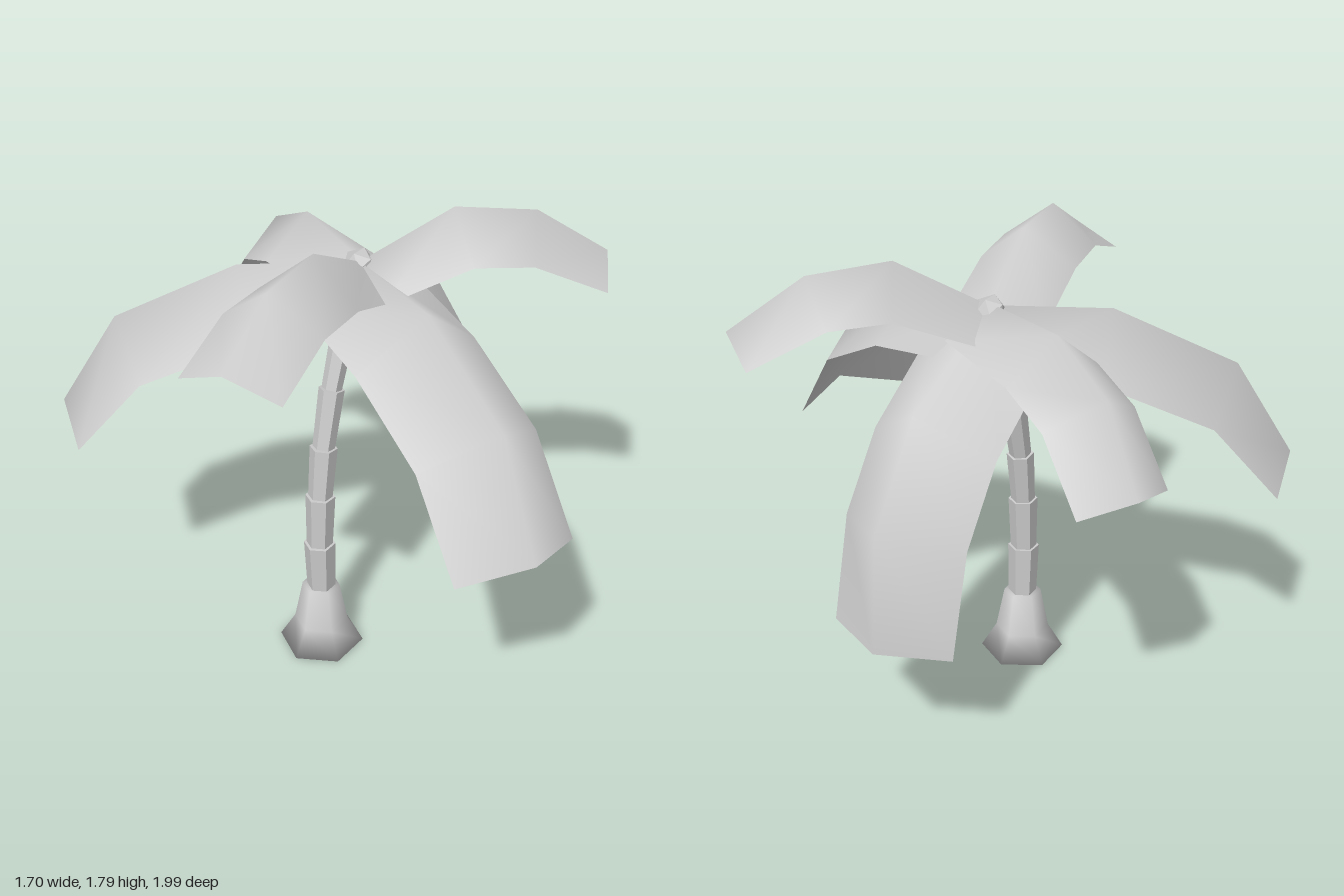
import * as THREE from 'three';

const leafMat = new THREE.MeshStandardMaterial({ color: 0xcccccc, side: THREE.DoubleSide });
const smoothMat = new THREE.MeshStandardMaterial({ color: 0xcccccc });
const flatMat = new THREE.MeshStandardMaterial({ color: 0xcccccc, flatShading: true });

const CROWN = new THREE.Vector3(0.075, 1.6, 0);

// Half width of a frond, and how far its edges fold down at each ridge point
const BROAD = { half: 0.25, folds: [0.13, 0.2, 0.19, 0.12] };
const NARROW = { half: 0.187, folds: [0.1, 0.155, 0.14, 0.09] };

// A frond is a roof-shaped strip: a ridge bending over, with both edges folded down from it.
// dir = ground direction [x, z]; ridge = [distance out, height] points
function frond(name, dir, ridge, { half, folds }) {
  const out = new THREE.Vector3(dir[0], 0, dir[1]).normalize();
  const side = new THREE.Vector3(-out.z, 0, out.x);
  const pos = [], index = [];
  ridge.forEach(([r, y], i) => {
    const a = ridge[Math.max(i - 1, 0)], b = ridge[Math.min(i + 1, ridge.length - 1)];
    const len = Math.hypot(b[0] - a[0], b[1] - a[1]);
    const nr = (b[1] - a[1]) / len, ny = -(b[0] - a[0]) / len; // direction under the ridge
    for (const s of [-1, 0, 1]) {
      const drop = s === 0 ? 0 : folds[i];
      const p = CROWN.clone().addScaledVector(out, r + nr * drop).addScaledVector(side, s * half);
      pos.push(p.x, y + ny * drop, p.z);
    }
    if (i > 0) {
      for (const c of [0, 1]) {
        const q = (i - 1) * 3 + c;
        index.push(q, q + 3, q + 1, q + 1, q + 3, q + 4);
      }
    }
  });
  const geo = new THREE.BufferGeometry();
  geo.setAttribute('position', new THREE.Float32BufferAttribute(pos, 3));
  geo.setIndex(index);
  geo.computeVertexNormals();
  const mesh = new THREE.Mesh(geo, leafMat);
  mesh.name = name;
  return mesh;
}

// Six-sided trunk piece between two centres, flaring slightly towards its top
function trunkPiece(name, from, to, rBottom, rTop) {
  const a = new THREE.Vector3(from[0], from[1], -0.005), b = new THREE.Vector3(to[0], to[1], -0.005);
  const axis = b.clone().sub(a);
  const geo = new THREE.CylinderGeometry(rTop, rBottom, axis.length(), 6, 1, false, Math.PI / 6);
  const mesh = new THREE.Mesh(geo, flatMat);
  mesh.position.copy(a).add(b).multiplyScalar(0.5);
  mesh.quaternion.setFromUnitVectors(new THREE.Vector3(0, 1, 0), axis.normalize());
  mesh.name = name;
  return mesh;
}

export function createModel() {
  const palm = new THREE.Group();
  palm.name = 'palmTree';

  // Flared six-sided foot
  const profile = [[0, 0], [0.168, 0], [0.107, 0.105], [0.074, 0.278], [0, 0.278]]
    .map(([r, y]) => new THREE.Vector2(r, y));
  const foot = new THREE.Mesh(new THREE.LatheGeometry(profile, 6, Math.PI / 6), smoothMat);
  foot.position.set(-0.166, 0, -0.006);
  foot.name = 'trunkBase';
  palm.add(foot);

  // Stacked trunk pieces along a bending line
  const line = [[-0.166, 0.27], [-0.172, 0.49], [-0.164, 0.71], [-0.14, 0.92], [-0.088, 1.15], [-0.015, 1.37], [0.07, 1.58]];
  const trunk = new THREE.Group();
  trunk.name = 'trunk';
  for (let i = 0; i < line.length - 1; i++) {
    const r = 0.062 - i * 0.0045;
    trunk.add(trunkPiece('trunkSegment' + (i + 1), line[i], line[i + 1], r - 0.006, r));
  }
  palm.add(trunk);

  // Small bud where the fronds meet
  const bud = new THREE.Mesh(new THREE.IcosahedronGeometry(0.06, 0), flatMat);
  bud.position.set(0.085, 1.585, -0.01);
  bud.name = 'crownBud';
  palm.add(bud);

  // Three broad drooping fronds and three narrower upper ones
  const fronds = new THREE.Group();
  fronds.name = 'fronds';
  fronds.add(
    frond('leftFrond', [1, -0.005], [[0, 1.6], [0.485, 1.37], [0.73, 1.02], [0.77, 0.58]], BROAD),
    frond('frontRightFrond', [-0.385, 1], [[0, 1.6], [0.42, 1.58], [0.86, 1.34], [1.07, 0.945]], BROAD),
    frond('backRightFrond', [-0.635, -0.93], [[0, 1.6], [0.44, 1.58], [0.9, 1.36], [1.13, 0.995]], BROAD),
    frond('backLeftFrond', [0.365, -0.78], [[0, 1.61], [0.41, 1.63], [0.69, 1.5], [0.865, 1.215]], NARROW),
    frond('frontLeftFrond', [0.64, 0.65], [[0, 1.6], [0.335, 1.79], [0.635, 1.76], [0.91, 1.585]], NARROW),
    frond('rightFrond', [-0.925, 0.16], [[0, 1.6], [0.345, 1.78], [0.655, 1.78], [0.94, 1.63]], NARROW),
  );
  palm.add(fronds);
  return palm;
}
